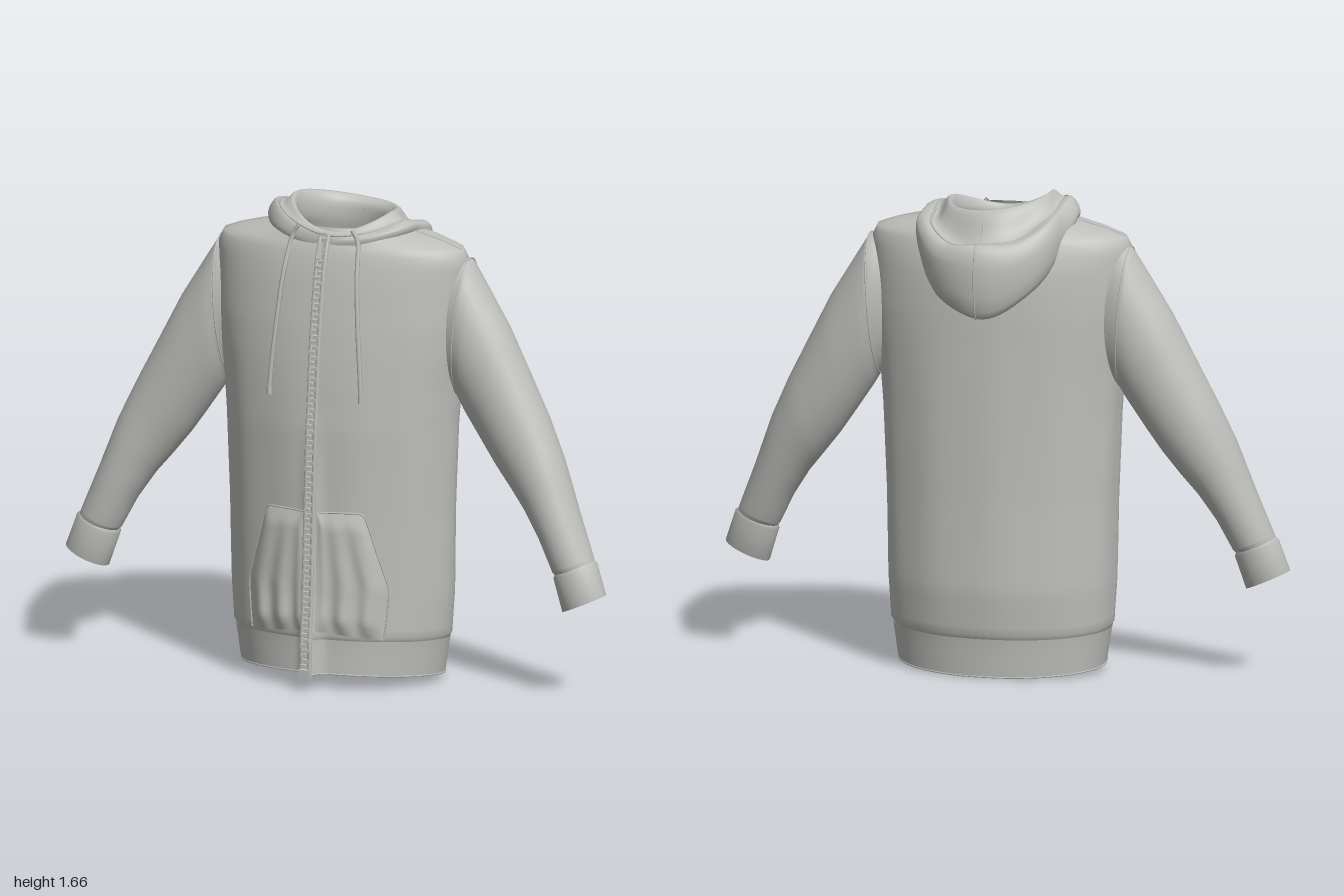
import * as THREE from 'three';
import { mergeGeometries } from 'three/addons/utils/BufferGeometryUtils.js';

const V = (x, y, z) => new THREE.Vector3(x, y, z);
const lerp = THREE.MathUtils.lerp;

// Torso sections: y, half width, front depth, back depth
const SECTIONS = [
  [0, .363, .278, .235], [.132, .382, .275, .243], [.15, .389, .28, .25], [.3, .399, .272, .262],
  [.6, .405, .27, .25], [.9, .418, .268, .243], [1.05, .43, .258, .24], [1.15, .443, .248, .237],
  [1.25, .453, .235, .235], [1.35, .455, .218, .23], [1.42, .456, .205, .222], [1.48, .457, .19, .205],
  [1.515, .44, .178, .19], [1.54, .37, .165, .175], [1.57, .245, .156, .165], [1.585, .185, .15, .158],
];

function section(y) {
  let i = 0;
  while (i < SECTIONS.length - 2 && y > SECTIONS[i + 1][0]) i++;
  const a = SECTIONS[i], b = SECTIONS[i + 1];
  const t = THREE.MathUtils.clamp((y - a[0]) / (b[0] - a[0]), 0, 1);
  return a.map((v, k) => lerp(v, b[k], t));
}

// The cloth rises to a ridge along the zip, strongest at the hem
const ridge = (x, y) => .05 * Math.max(0, 1 - y) * Math.exp(-((x / .028) ** 2));

function frontZ(x, y) {
  const [, rx, zf] = section(y);
  return zf * Math.sqrt(Math.max(0, 1 - (x / rx) ** 2)) + ridge(x, y);
}

// The hem rises towards the front
function torsoPoint(a, y, grow = 0) {
  const [, rx, zf, zb] = section(y);
  const s = Math.sin(a);
  const fold = 1 + .006 * Math.sin(a * 11 + 1) * Math.sin(Math.PI * Math.min(1, y / 1.3));
  const x = (rx * fold + grow) * Math.cos(a);
  const z = (s > 0 ? zf : zb) * s * fold + grow * s;
  const lift = .05 * Math.max(0, (z + .23) / .51) * Math.max(0, 1 - y / .5);
  return V(x, y + lift, z + (s > 0 ? ridge(x, y) : 0));
}

// Surface through rings of equal length
function loft(rings, closed = true) {
  const n = rings[0].length, index = [];
  for (let i = 0; i < rings.length - 1; i++) {
    for (let j = 0; j < (closed ? n : n - 1); j++) {
      const k = (j + 1) % n, a = i * n, b = a + n;
      index.push(a + j, b + j, a + k, a + k, b + j, b + k);
    }
  }
  const g = new THREE.BufferGeometry().setFromPoints(rings.flat());
  g.setIndex(index);
  g.computeVertexNormals();
  return g;
}

const loopOf = (n, f) => Array.from({ length: n }, (_, i) => f(i / n * Math.PI * 2));
const steps = (n, f) => Array.from({ length: n + 1 }, (_, i) => f(i / n));
const tube = (pts, r, closed = false, n = 60) =>
  new THREE.TubeGeometry(new THREE.CatmullRomCurve3(pts, closed), n, r, 6, closed);

export function createModel() {
  const model = new THREE.Group();
  model.name = 'hoodedJacket';
  const fabric = new THREE.MeshStandardMaterial({ color: 0xbebebb, side: THREE.DoubleSide });
  fabric.name = 'greyFabric';
  const add = (name, geometry) => {
    const mesh = new THREE.Mesh(geometry, fabric);
    mesh.name = name;
    model.add(mesh);
    return mesh;
  };

  // Torso and ribbed hem band
  const heights = steps(48, t => lerp(.15, 1.48, t)).concat([1.5, 1.515, 1.528, 1.54, 1.555, 1.57, 1.585]);
  add('torso', loft([loopOf(160, a => torsoPoint(a, .134, -.003)), ...heights.map(y => loopOf(160, a => torsoPoint(a, y)))]));
  add('hemBand', loft(steps(5, t => loopOf(160, a => torsoPoint(a, t * .136)))));
  add('hemEdge', tube(loopOf(120, a => torsoPoint(a, .003)), .003, true, 160));

  // Sleeves: outer x, y, inner x, y, middle z, half depth
  const SLEEVE = [
    [.36, 1.47, .37, 1.04, -.015, .09], [.462, 1.485, .425, 1.0, -.018, .113], [.503, 1.42, .455, .95, -.015, .118],
    [.6, 1.265, .52, .855, -.01, .117], [.68, 1.11, .575, .777, -.003, .113], [.755, .965, .637, .7, .006, .108],
    [.82, .825, .695, .63, .022, .1], [.885, .65, .755, .54, .04, .09], [.945, .5, .807, .437, .055, .077],
    [.953, .478, .82, .425, .057, .07],
  ];
  const CUFF = [
    [.95, .484, .815, .428, .057, .07], [.962, .477, .812, .415, .058, .075],
    [.98, .425, .83, .36, .063, .073], [1, .37, .848, .303, .068, .068],
    [.993, .372, .855, .31, .068, .062], [.965, .44, .835, .37, .06, .06],
  ];
  const sleeveRing = ([ox, oy, ix, iy, zc, hz], side) => loopOf(36, a => {
    const t = .5 + .5 * Math.cos(a);
    return V(side * lerp(ix, ox, t), lerp(iy, oy, t), zc + hz * Math.sin(a));
  });
  const smoothRings = (rows, n) => steps(n, t => {
    const f = Math.min(t * (rows.length - 1), rows.length - 1.0001), i = Math.floor(f);
    return rows[i].map((v, k) => lerp(v, rows[i + 1][k], f - i));
  });
  for (const side of [1, -1]) {
    const label = side > 0 ? 'left' : 'right';
    add(label + 'Sleeve', loft(smoothRings(SLEEVE, 27).map(r => sleeveRing(r, side))));
    add(label + 'Cuff', loft(CUFF.map(r => sleeveRing(r, side))));
    add(label + 'ArmholeSeam', tube(sleeveRing(SLEEVE[1], side), .003, true, 72));

    // Shoulder and side seams
    add(label + 'ShoulderSeam', tube([[.44, 1.515], [.37, 1.54], [.245, 1.57]].map(p => V(side * p[0], p[1], 0)), .003, false, 16));
    add(label + 'SideSeam', tube(steps(12, t => torsoPoint(side > 0 ? 0 : Math.PI, lerp(.15, 1, t))), .002));

    // Drawstring with knotted tip
    const cord = [[.1, 1.585], [.12, 1.55], [.137, 1.42], [.152, 1.25], [.165, 1.1], [.17, 1.02]]
      .map(([x, y]) => V(side * x, y, frontZ(x, Math.min(y, 1.56)) + .009));
    add(label + 'Drawstring', tube(cord, .008));
    const tip = add(label + 'DrawstringTip', new THREE.CylinderGeometry(.009, .009, .03, 10));
    tip.position.copy(cord[5]);

    // Kangaroo pocket half, puffed out from the torso with soft folds
    const pocketRows = steps(24, v => {
      const y = lerp(.175, .615, v);
      const w = y < .35 ? lerp(.245, .26, (y - .175) / .175) : lerp(.26, .18, (y - .35) / .265);
      return steps(28, u => {
        const x = lerp(.022, w, u);
        const edge = Math.min(1, u * 9, (1 - u) * 9, v * 9, (1 - v) * 9);
        const fold = .009 * Math.sin(u * 17 + 1) * (1 - v);
        return V(side * x, y + .025 * (1 - v) * (1 - u), frontZ(x, y) + .002 + edge * (.014 + fold));
      });
    });
    add(label + 'Pocket', loft(pocketRows, false));
    const rim = [[.03, .615], [.1, .617], [.175, .614], [.183, .605], [.222, .48], [.258, .355], [.259, .34], [.253, .25], [.245, .18]];
    add(label + 'PocketSeam', tube(rim.map(([x, y]) => V(side * x, y, frontZ(x, y) + .003)), .003));
  }

  // Front zip: two tapes, interlocking teeth and a pull
  const zipY = t => lerp(.05, 1.565, t);
  const zipZ = y => frontZ(0, y) + .004;
  for (const side of [1, -1]) {
    add('zipTape', tube(steps(30, t => V(side * .014, zipY(t), zipZ(zipY(t)))), .009, false, 80));
  }
  const teeth = steps(84, t => {
    const y = zipY(t), i = Math.round(t * 84);
    return new THREE.BoxGeometry(.02, .011, .016).translate(i % 2 ? .005 : -.005, y, zipZ(y) + .007);
  });
  add('zipTeeth', mergeGeometries(teeth));
  add('zipPull', new THREE.BoxGeometry(.018, .06, .008).rotateX(-.35).translate(0, 1.515, .205));
  add('zipStop', new THREE.BoxGeometry(.04, .03, .02).translate(0, .06, zipZ(.06) + .008));

  // Hood lying on the back: profiles of radius and height at front, side and back
  const FRONT = [[.155, 1.5], [.142, 1.535], [.143, 1.56], [.152, 1.575], [.162, 1.57], [.168, 1.555], [.17, 1.54], [.168, 1.52], [.16, 1.5]];
  const SIDE = [[.185, 1.53], [.163, 1.57], [.162, 1.61], [.177, 1.645], [.212, 1.618], [.24, 1.62], [.27, 1.592], [.265, 1.565], [.22, 1.55]];
  const BACK = [[.17, 1.48], [.157, 1.55], [.165, 1.605], [.2, 1.618], [.262, 1.515], [.325, 1.51], [.352, 1.44], [.325, 1.272], [.238, 1.33]];
  const hoodRings = loopOf(96, a => {
    const c = Math.cos(a), s = Math.sin(a);
    const end = c > 0 ? FRONT : BACK, w = Math.abs(c) ** 1.6;
    const pts = SIDE.map(([r, y], i) => {
      const radius = lerp(r, end[i][0], w), outer = i > 3 ? 1 : 0;
      const ripple = outer * .008 * Math.sin(a * 7 + i) * (1 - c) / 2;
      const height = lerp(y, end[i][1], w) - .018 * s * (i > 1 && i < 6 ? 1 : 0) + ripple;
      return V((radius + ripple) * s, height, radius * c);
    });
    return new THREE.CatmullRomCurve3(pts).getPoints(32);
  });
  hoodRings.push(hoodRings[0].map(p => p.clone()));
  add('hood', loft(hoodRings, false));

  // Hood centre seam and opening hem
  add('hoodSeam', tube(hoodRings[48].slice(14, 31).map(p => p.clone()), .003));
  add('hoodHem', tube(hoodRings.slice(0, 96).map(r => r[18].clone()), .004, true, 120));

  return model;
}
